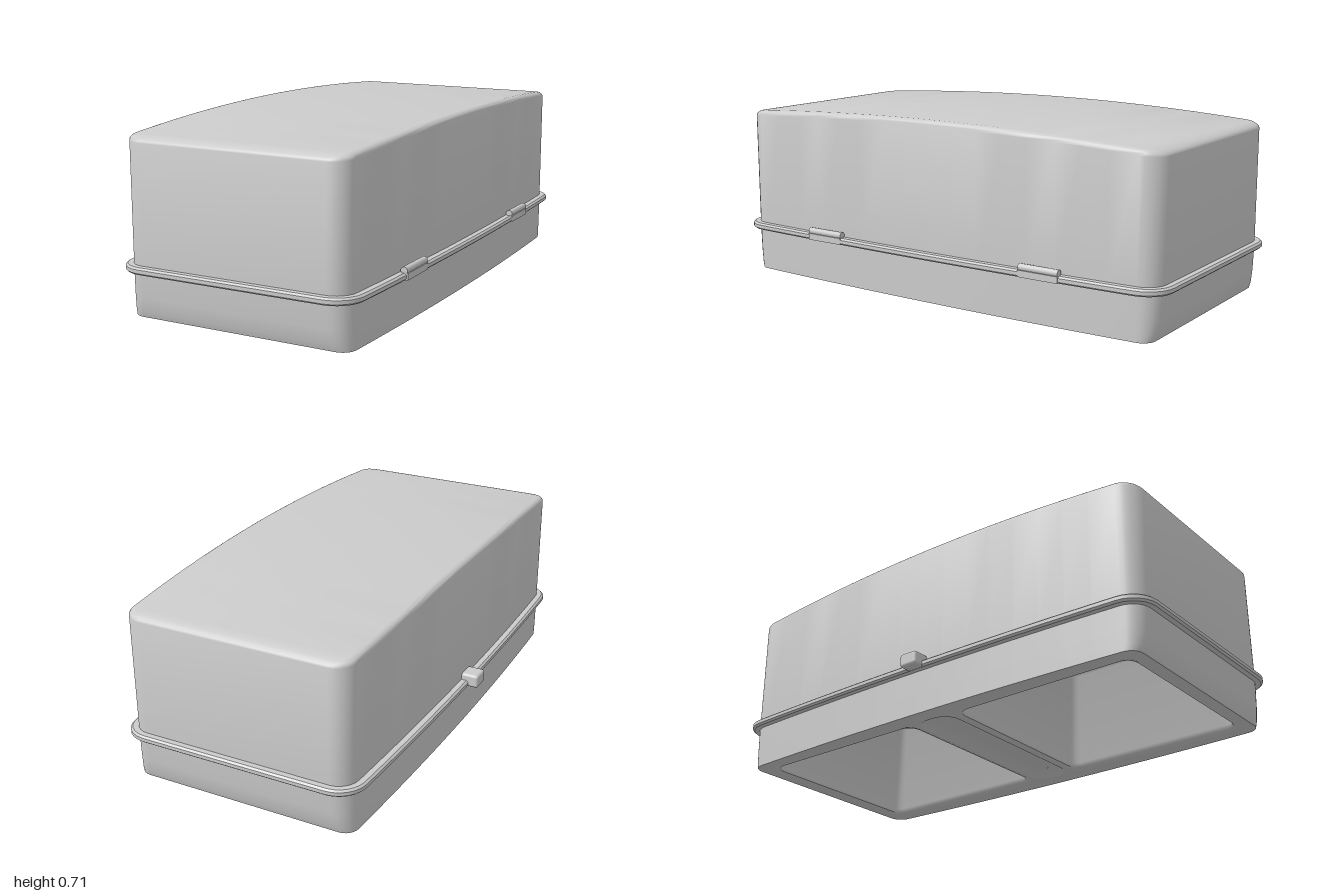
import * as THREE from 'three';
import { toCreasedNormals } from 'three/addons/utils/BufferGeometryUtils.js';
import { RoundedBoxGeometry } from 'three/addons/geometries/RoundedBoxGeometry.js';

const material = new THREE.MeshStandardMaterial({ color: 0xcccccc });
const CX = 0.02; // the case body sits slightly off centre because of the latch

// Rounded rectangle in plan whose long sides bow outwards in the middle
function outline(hw, hz, r, bulge = 0) {
  const pts = [];
  const add = (x, z) => pts.push([x + Math.sign(x) * bulge * (1 - (z / hz) ** 2), z]);
  const corner = (cx, cz, start) => {
    for (let i = 0; i <= 6; i++) {
      const a = start + (i / 6) * Math.PI / 2;
      add(cx + r * Math.cos(a), cz + r * Math.sin(a));
    }
  };
  const side = (s) => {
    for (let i = 1; i < 16; i++) add(s * hw, s * (hz - r) * (i / 8 - 1));
  };
  side(1);
  corner(hw - r, hz - r, 0);
  corner(-hw + r, hz - r, Math.PI / 2);
  side(-1);
  corner(-hw + r, -hz + r, Math.PI);
  corner(hw - r, -hz + r, Math.PI * 1.5);
  return pts;
}

// Case outline with offsets for the long sides and the ends
const caseOutline = (off, endOff = off, r = 0.075) => outline(0.46 + off, 0.97 + endOff, r, 0.024);
const ring = (pts, y) => pts.map(([x, z]) => [x, typeof y === 'function' ? y(z) : y, z]);

// Skin between successive rings
function loft(rings, crease = 0.6) {
  const n = rings[0].length;
  const index = [];
  for (let j = 0; j < rings.length - 1; j++) {
    for (let i = 0; i < n; i++) {
      const k = (i + 1) % n;
      const a = j * n + i, b = a + n, c = j * n + k, d = c + n;
      index.push(a, b, c, c, b, d);
    }
  }
  const geo = new THREE.BufferGeometry();
  geo.setAttribute('position', new THREE.Float32BufferAttribute(rings.flat(2), 3));
  geo.setIndex(index);
  return toCreasedNormals(geo, crease);
}

export function createModel() {
  const group = new THREE.Group();
  const add = (name, geo, x = 0, y = 0, z = 0) => {
    const mesh = new THREE.Mesh(geo, material);
    mesh.name = name;
    mesh.position.set(x, y, z);
    group.add(mesh);
  };

  // Lid: upright walls, tight edge along the sides, long soft edge at the ends, arched roof
  const roof = (z) => 0.715 - 0.038 * z * z;
  const lidRings = [ring(caseOutline(0), 0.19)];
  for (let i = 0; i <= 5; i++) {
    const a = (i / 5) * Math.PI / 2;
    const inset = Math.cos(a) - 1;
    lidRings.push(ring(caseOutline(0.025 * inset, 0.055 * inset, 0.075 + 0.055 * inset),
      (z) => roof(z) - 0.022 * (1 - Math.sin(a))));
  }
  lidRings.push(ring(caseOutline(-0.025, -0.055, 0.02).map(([, z]) => [0, z]), roof));
  add('lid', loft(lidRings), CX);

  // Rim where lid and base meet
  const rimProfile = [[0, 0.175], [0.022, 0.175], [0.03, 0.182], [0.03, 0.196], [0.022, 0.203], [0, 0.203]];
  add('rim', loft(rimProfile.map(([off, y]) => ring(caseOutline(off, off, 0.075 + off), y))), CX);

  // Base walls, tapering at the ends, with corners that tighten towards the foot
  const foot = caseOutline(0, -0.024, 0.051);
  add('baseWalls', loft([
    ring(foot, 0),
    ring(caseOutline(0, -0.014, 0.061), 0.025),
    ring(caseOutline(0, -0.006, 0.069), 0.08),
    ring(caseOutline(0), 0.18),
  ]), CX);

  // Underside with two openings and a shallow channel between them
  const toVectors = (pts, dz = 0) => pts.map(([x, z]) => new THREE.Vector2(x, z + dz));
  const wellMouth = outline(0.42, 0.4, 0.07);
  const channelMouth = outline(0.41, 0.085, 0.07);
  const underside = new THREE.Shape(toVectors(foot));
  for (const s of [-1, 1]) underside.holes.push(new THREE.Path(toVectors(wellMouth, s * 0.5)));
  underside.holes.push(new THREE.Path(toVectors(channelMouth)));
  add('underside', new THREE.ShapeGeometry(underside).rotateX(Math.PI / 2), CX);

  // Deep wells open to the underside, with softened mouths
  const depth = 0.43;
  const well = outline(0.38, 0.38, 0.04);
  const wellGeo = loft([
    ring(well.map(() => [0, 0]), depth),
    ring(outline(0.37, 0.37, 0.03), depth),
    ring(well, depth - 0.01),
    ring(well, 0.02),
    ring(outline(0.392, 0.384, 0.05), 0.006),
    ring(wellMouth, 0),
  ], 0.9);
  for (const s of [-1, 1]) add(s > 0 ? 'frontWell' : 'backWell', wellGeo, CX, 0, s * 0.5);

  // Channel across the underside
  const channelFloor = outline(0.36, 0.03, 0.028);
  add('channel', loft([
    ring(channelFloor.map(([x]) => [x, 0]), 0.03),
    ring(channelFloor, 0.027),
    ring(outline(0.385, 0.06, 0.05), 0.016),
    ring(channelMouth, 0),
  ], 0.9), CX);

  // Hinges: barrel on a small leaf
  const barrel = new THREE.CylinderGeometry(0.014, 0.014, 0.17, 16).rotateX(Math.PI / 2);
  const leaf = new THREE.BoxGeometry(0.032, 0.026, 0.17);
  for (const s of [-1, 1]) {
    add('hingeBarrel', barrel, 0.516, 0.212, s * 0.515);
    add('hingeLeaf', leaf, 0.515, 0.19, s * 0.515);
  }

  // Latch on the opposite side
  add('latch', new RoundedBoxGeometry(0.075, 0.055, 0.08, 3, 0.012), -0.497, 0.203, 0);

  return group;
}
